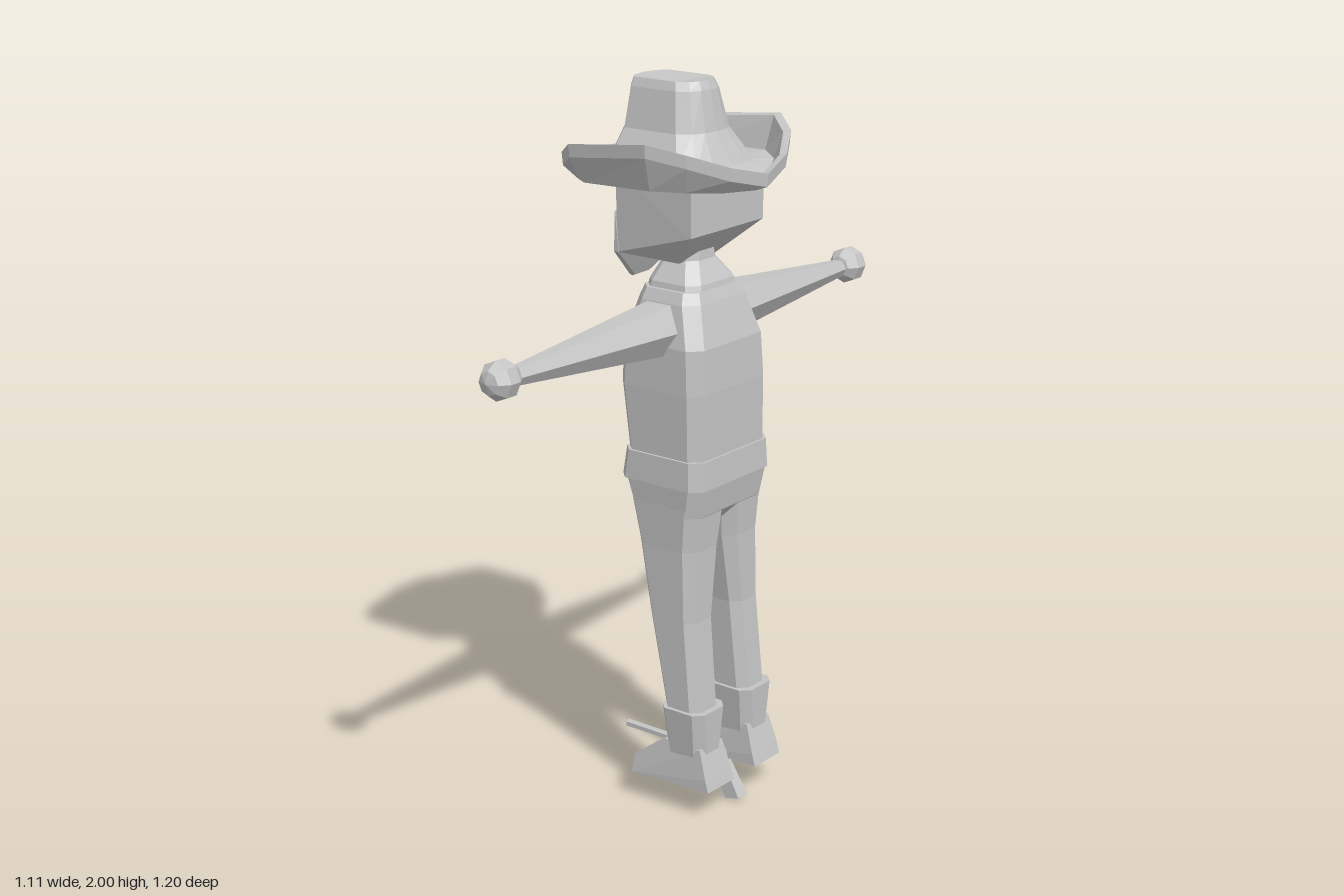
import * as THREE from 'three';
import { ConvexGeometry } from 'three/addons/geometries/ConvexGeometry.js';

// Closed low-poly skin over rings listed bottom to top; each ring runs front, +x, back, -x
function loft(rings, capDip = 0) {
  const pos = [];
  const tri = (...pts) => pts.forEach((p) => pos.push(...p));
  const centre = (ring) => [0, 1, 2].map((k) => ring.reduce((s, p) => s + p[k], 0) / ring.length);
  const n = rings[0].length;
  const top = rings[rings.length - 1];
  const low = centre(rings[0]);
  const high = centre(top);
  high[1] -= capDip;
  for (let j = 0; j < n; j++) {
    const k = (j + 1) % n;
    tri(low, rings[0][k], rings[0][j]);
    tri(high, top[j], top[k]);
    for (let i = 0; i < rings.length - 1; i++) {
      const [a, b] = [rings[i], rings[i + 1]];
      tri(a[j], a[k], b[k]);
      tri(a[j], b[k], b[j]);
    }
  }
  const geo = new THREE.BufferGeometry();
  geo.setAttribute('position', new THREE.Float32BufferAttribute(pos, 3));
  geo.computeVertexNormals();
  return geo;
}

// Rectangle ring with cut corners
function ring(y, w, back, front, cut = 0.03, cx = 0) {
  const half = [[w - cut, front], [w, front - cut], [w, back + cut], [w - cut, back]];
  const other = half.slice().reverse().map(([x, z]) => [-x, z]);
  return [...half, ...other].map(([x, z]) => [x + cx, y, z]);
}

// Mirrors a half outline [x, z, y] whose first and last points lie on the centre line
function mirrorRing(half) {
  const other = half.slice(1, -1).reverse().map(([x, z, y]) => [-x, z, y]);
  return [...half, ...other].map(([x, z, y]) => [x, y, z]);
}

// Hull of points given with both signs of x
function hull(points, cx = 0) {
  const all = [];
  points.forEach(([x, y, z]) => [1, -1].forEach((s) => all.push(new THREE.Vector3(cx + s * x, y, z))));
  return new ConvexGeometry(all);
}

export function createModel() {
  const model = new THREE.Group();
  const body = new THREE.Group();
  body.name = 'cowboy';
  body.rotation.y = THREE.MathUtils.degToRad(227.4);
  model.add(body);

  const grey = new THREE.MeshStandardMaterial({ color: 0xc4c4c4, flatShading: true });
  grey.name = 'plain grey';

  function add(name, geo, parent = body) {
    const mesh = new THREE.Mesh(geo, grey);
    mesh.name = name;
    parent.add(mesh);
    return mesh;
  }

  // Hat: brim turned up at the sides, pinched crown
  const rim = [[0, 0.337, 1.77], [0.222, 0.25, 1.81], [0.288, 0.17, 1.85], [0.288, -0.08, 1.877],
    [0.222, -0.161, 1.85], [0.12, -0.222, 1.81], [0, -0.251, 1.78]];
  const brim = (scale, height) => mirrorRing(rim.map(([x, z, y]) =>
    [x * scale, 0.043 + (z - 0.043) * scale, height(y)]));
  const base = [[0, 0.21], [0.1, 0.19], [0.155, 0.15], [0.155, -0.075], [0.12, -0.115], [0.07, -0.13], [0, -0.135]];
  const peak = [[0, 0.16], [0.05, 0.15], [0.075, 0.13], [0.075, -0.01], [0.055, -0.04], [0.03, -0.055], [0, -0.06]];
  const crown = (t, y) => mirrorRing(base.map(([x, z], i) =>
    [x + (peak[i][0] - x) * t, z + (peak[i][1] - z) * t, y]));
  add('hat', loft([
    brim(0.45, () => 1.745),
    brim(0.86, (y) => 1.73 + 0.2 * (y - 1.77)),
    brim(0.99, (y) => y - 0.035),
    brim(1, (y) => y),
    brim(0.93, (y) => y - 0.005),
    brim(0.85, (y) => 1.76 + 0.2 * (y - 1.77)),
    crown(0, 1.785),
    crown(0.65, 1.87),
    crown(0.92, 1.975),
    crown(1.05, 1.998),
  ], 0.015));

  // Head and the neckerchief over the face
  add('head', hull([
    [0.155, 1.78, -0.122], [0.155, 1.62, -0.122], [0.075, 1.525, -0.02],
    [0.155, 1.78, 0.125], [0.15, 1.55, 0.125], [0, 1.78, 0.15], [0, 1.56, 0.16],
  ]));
  add('faceScarf', hull([
    [0.157, 1.66, 0.127], [0.152, 1.55, 0.12], [0.152, 1.55, 0.135],
    [0, 1.66, 0.165], [0.03, 1.46, 0.185], [0, 1.445, 0.2], [0.03, 1.46, 0.165],
  ]));

  // Neck, torso, belt and hips
  add('neck', loft([
    ring(1.43, 0.11, -0.1, 0.09),
    ring(1.475, 0.1, -0.09, 0.08),
    ring(1.53, 0.06, -0.055, 0.06, 0.025),
    ring(1.58, 0.055, -0.05, 0.06, 0.025),
  ]));
  add('torso', loft([
    ring(0.99, 0.16, -0.145, 0.1),
    ring(1.2, 0.162, -0.148, 0.13, 0.035),
    ring(1.32, 0.158, -0.142, 0.125, 0.035),
    ring(1.43, 0.13, -0.108, 0.095, 0.035),
    ring(1.46, 0.115, -0.095, 0.085),
  ]));
  add('belt', loft([
    ring(0.94, 0.17, -0.155, 0.12),
    ring(1.02, 0.167, -0.152, 0.108),
  ]));
  add('hips', loft([
    ring(0.82, 0.1, -0.1, 0.06),
    ring(0.86, 0.16, -0.135, 0.09),
    ring(0.95, 0.167, -0.152, 0.115),
  ]));

  for (const side of [1, -1]) {
    const label = side > 0 ? 'left' : 'right';

    // Arm held straight out, with a round hand
    const arm = new THREE.CylinderGeometry(0.022, 0.078, 0.61, 6);
    arm.rotateZ(-side * Math.PI / 2);
    arm.translate(side * 0.425, 1.36, 0.003);
    add(label + 'Arm', arm);
    const hand = new THREE.SphereGeometry(0.054, 8, 5);
    hand.rotateZ(Math.PI / 2);
    hand.translate(side * 0.742, 1.362, 0.004);
    add(label + 'Hand', hand);

    // Trouser leg, sloping back to the ankle
    add(label + 'Leg', loft([
      ring(0.28, 0.056, -0.15, -0.03, 0.025, side * 0.107),
      ring(0.56, 0.057, -0.125, 0.03, 0.025, side * 0.102),
      ring(0.76, 0.071, -0.125, 0.07, 0.03, side * 0.087),
      ring(0.88, 0.08, -0.135, 0.095, 0.03, side * 0.082),
    ]));

    // Boot shaft and foot
    add(label + 'BootShaft', loft([
      ring(0.17, 0.052, -0.16, -0.03, 0.025, side * 0.107),
      ring(0.305, 0.067, -0.165, -0.02, 0.025, side * 0.107),
    ]));
    add(label + 'Foot', hull([
      [0.058, 0.085, -0.19], [0.062, 0.075, 0.075], [0.05, 0.125, 0.075],
      [0.058, 0.12, -0.18], [0.05, 0.2, -0.155], [0.045, 0.2, -0.03],
    ], side * 0.107));
  }

  // Revolver hanging between the boots
  const gun = new THREE.Group();
  gun.name = 'revolver';
  body.add(gun);
  const along = (r, length, sides) => new THREE.CylinderGeometry(r, r, length, sides).rotateX(Math.PI / 2);
  add('barrel', along(0.012, 0.25, 6).translate(0, 0.12, 0.1), gun);
  add('drum', along(0.024, 0.06, 8).translate(0, 0.112, -0.045), gun);
  add('frame', new THREE.BoxGeometry(0.024, 0.045, 0.12).translate(0, 0.108, -0.06), gun);
  add('grip', hull([
    [0.016, 0.105, -0.13], [0.016, 0.085, -0.085], [0.02, 0, -0.14], [0.02, 0.012, -0.185],
  ]), gun);
  add('triggerGuard', new THREE.TorusGeometry(0.02, 0.004, 4, 10)
    .rotateY(Math.PI / 2).translate(0, 0.073, -0.035), gun);

  return model;
}
